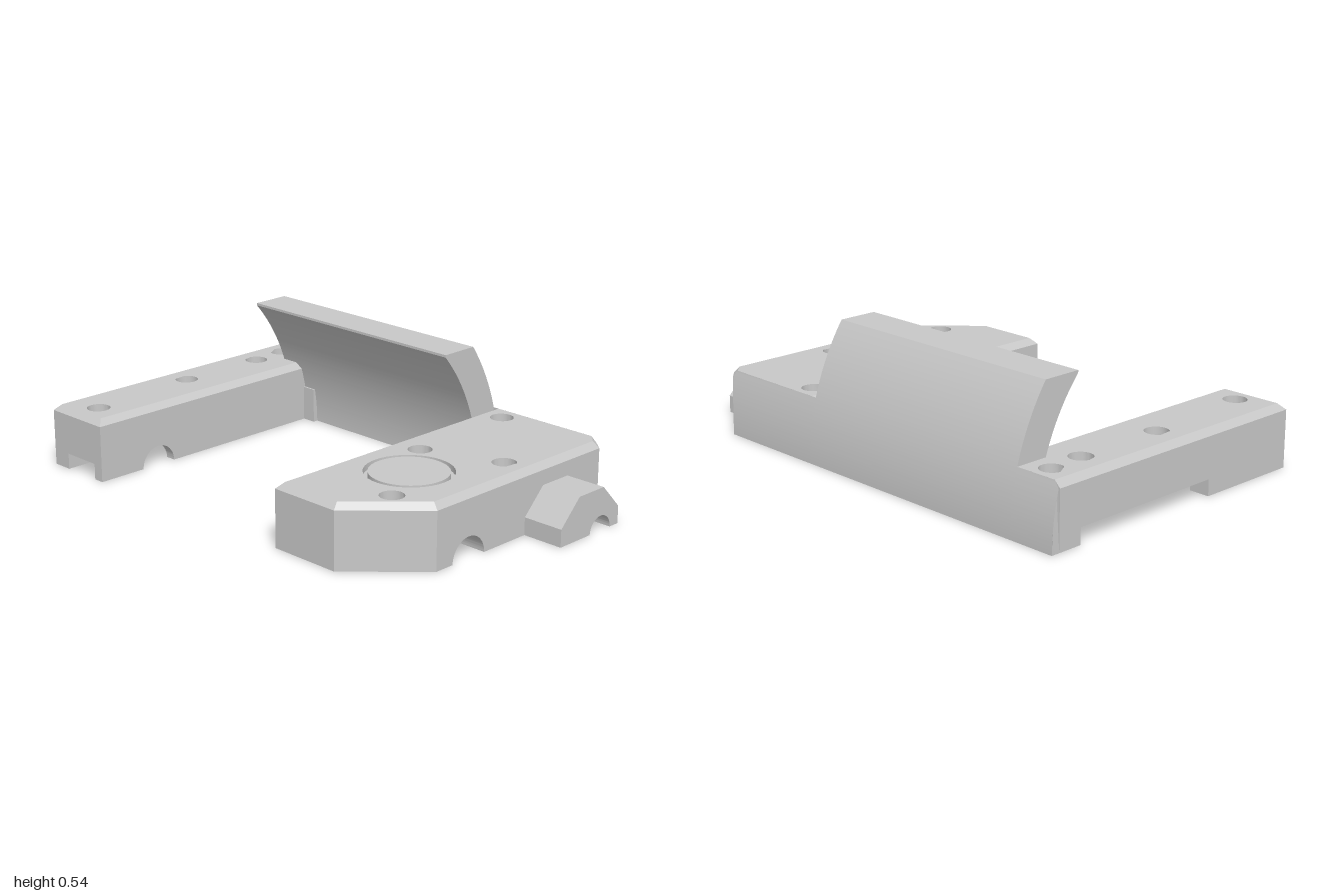
import * as THREE from 'three';
import { toCreasedNormals } from 'three/addons/utils/BufferGeometryUtils.js';

const grey = new THREE.MeshStandardMaterial({ color: 0xc8c8c8 });
grey.name = 'light grey';

const HEIGHT = 0.255, SHOULDER = 0.23, BORE = 0.155, GROOVE_TOP = 0.09;
const BACK = -0.594; // flat rear plane of the arms, covered by the curved skin
const FRONT = 0.63;

const polygon = (points) => new THREE.Shape(points.map(([a, b]) => new THREE.Vector2(a, b)));
const rect = (x0, x1, z0, z1) => [[x0, z0], [x1, z0], [x1, z1], [x0, z1]];

export function createModel() {
  const model = new THREE.Group();
  model.name = 'bracket';

  function add(parent, name, geometry) {
    const mesh = new THREE.Mesh(toCreasedNormals(geometry, 0.5), grey);
    mesh.name = name;
    parent.add(mesh);
  }

  function group(name) {
    const g = new THREE.Group();
    g.name = name;
    model.add(g);
    return g;
  }

  // horizontal layer from a plan outline (x, z) with round holes [x, z, radius];
  // an optional inset outline tapers the top edge into a chamfer
  function layer(parent, name, outline, y0, y1, holes = [], inset = null) {
    const shape = polygon(outline);
    for (const [x, z, r] of holes) {
      shape.holes.push(new THREE.Path().absarc(x, z, r, 0, Math.PI * 2, true));
    }
    const geo = new THREE.ExtrudeGeometry(shape, { depth: y1 - y0, bevelEnabled: false, curveSegments: 20 });
    geo.rotateX(Math.PI / 2).translate(0, y1, 0);
    if (inset) {
      const p = geo.attributes.position;
      for (let i = 0; i < p.count; i++) {
        if (p.getY(i) < y1 - 1e-4) continue;
        const k = outline.findIndex(([x, z]) => Math.hypot(x - p.getX(i), z - p.getZ(i)) < 1e-4);
        if (k >= 0) p.setXYZ(i, inset[k][0], y1, inset[k][1]);
      }
    }
    add(parent, name, geo);
  }

  // side profile (z, y) swept along x
  function sweep(shape, x0, x1) {
    const geo = new THREE.ExtrudeGeometry(shape, { depth: x1 - x0, bevelEnabled: false, curveSegments: 32 });
    return geo.rotateY(-Math.PI / 2).translate(x1, 0, 0);
  }

  // material left around a half-round groove that opens downward
  function groove(parent, z, r, x0, x1, y0 = 0) {
    const a = Math.asin(y0 / r);
    const s = new THREE.Shape();
    s.moveTo(z - r, y0);
    s.absarc(z, 0, r, Math.PI - a, a, true);
    s.lineTo(z + r, y0);
    s.lineTo(z + r, GROOVE_TOP);
    s.lineTo(z - r, GROOVE_TOP);
    add(parent, 'roundGroove', sweep(s, x0, x1));
  }

  // body above the grooves: screw holes, counterbores and chamfered top
  function upperBody(parent, outline, inset, screws, topCuts = []) {
    const narrow = screws.map(([x, z]) => [x, z, 0.024]);
    const wide = screws.map(([x, z]) => [x, z, 0.047]);
    layer(parent, 'body', outline, GROOVE_TOP, BORE, narrow);
    layer(parent, 'counterboreLayer', outline, BORE, SHOULDER, wide);
    layer(parent, 'chamferedTop', outline, SHOULDER, HEIGHT, [...wide, ...topCuts], inset);
    return narrow;
  }

  // long narrow arm
  const arm = group('longArm');
  const armHoles = upperBody(arm, rect(-1, -0.7, BACK, FRONT),
    [[-0.975, BACK], [-0.725, BACK], [-0.725, FRONT - 0.025], [-0.975, FRONT - 0.025]],
    [[-0.89, -0.52], [-0.875, -0.36], [-0.875, 0.035], [-0.835, 0.53]]);
  const RAISED = 0.065;
  layer(arm, 'armUnderside', [[-1, BACK], [-0.7, BACK], [-0.7, 0.26], [-0.89, 0.26],
    [-0.89, 0.42], [-0.7, 0.42], [-0.7, FRONT], [-1, FRONT]], RAISED, GROOVE_TOP, armHoles);
  layer(arm, 'rearFoot', rect(-1, -0.7, BACK, -0.49), 0, RAISED, [armHoles[0]]);
  layer(arm, 'outerFoot', rect(-1, -0.915, 0.185, FRONT), 0, RAISED);
  layer(arm, 'innerLip', rect(-0.745, -0.7, -0.49, 0.26), 0, RAISED);
  layer(arm, 'innerFoot', rect(-0.745, -0.7, 0.42, FRONT), 0, RAISED);
  groove(arm, 0.34, 0.08, -0.745, -0.7);
  groove(arm, 0.34, 0.08, -0.89, -0.745, RAISED);
  layer(arm, 'cornerBlock', rect(-0.71, -0.64, -0.52, -0.477), 0, 0.145);

  // wide block
  const block = group('wideBlock');
  const ring = [0.535, 0.178];
  const blockHoles = upperBody(block,
    [[0.275, BACK], [0.795, BACK], [0.83, -0.562], [0.83, 0.35], [0.575, 0.602], [0.275, 0.602]],
    [[0.3, BACK], [0.765, BACK], [0.805, -0.552], [0.805, 0.34], [0.565, 0.577], [0.3, 0.577]],
    [[0.38, -0.52], [0.72, -0.135], [0.405, -0.02], [0.66, 0.4]],
    [[...ring, 0.17]]);
  layer(block, 'blockUnderside', [[0.275, BACK], [0.795, BACK], [0.83, -0.562],
    [0.83, -0.42], [0.61, -0.42], [0.61, -0.3], [0.83, -0.3],
    [0.83, 0.095], [0.65, 0.095], [0.65, 0.265], [0.83, 0.265],
    [0.83, 0.35], [0.575, 0.602], [0.275, 0.602],
    [0.275, 0.42], [0.42, 0.42], [0.42, 0.26], [0.275, 0.26]], 0, GROOVE_TOP, blockHoles);
  groove(block, -0.36, 0.06, 0.61, 0.83);
  groove(block, 0.18, 0.085, 0.65, 0.83);
  groove(block, 0.34, 0.08, 0.275, 0.42);

  // disc inside the engraved ring
  const disc = new THREE.CylinderGeometry(0.152, 0.152, HEIGHT - SHOULDER, 64);
  add(block, 'ringCentre', disc.translate(ring[0], (HEIGHT + SHOULDER) / 2, ring[1]));

  // side lug with a half-round channel
  const lug = polygon([[-0.467, 0], [-0.467, 0.07], [-0.372, 0.17], [-0.23, 0.17], [-0.13, 0.07], [-0.13, 0]]);
  lug.lineTo(-0.3, 0);
  lug.absarc(-0.36, 0, 0.06, 0, Math.PI, false);
  add(block, 'sideLug', sweep(lug, 0.83, 1));

  // curved rear wall
  const wall = group('rearWall');
  const CZ = 0.297, OUTER = 0.927, INNER = 0.795, TOP = 0.535;
  const shield = new THREE.Shape();
  shield.absarc(CZ, 0, OUTER, Math.PI, Math.PI - Math.asin(TOP / OUTER), true);
  shield.lineTo(-0.3, TOP);
  shield.absarc(CZ, 0, INNER, Math.PI - Math.asin(0.525 / INNER), Math.PI, false);
  add(wall, 'curvedShield', sweep(shield, -0.8, 0.275));

  // curved skin behind both arms, its ends following the chamfers and the cut corner
  const skin = new THREE.Shape();
  skin.absarc(CZ, 0, OUTER, Math.PI, Math.PI - Math.asin(HEIGHT / OUTER), true);
  skin.lineTo(BACK, SHOULDER);
  skin.lineTo(BACK, 0);
  function addSkin(name, x0, x1, endX) {
    const geo = sweep(skin, x0, x1);
    const p = geo.attributes.position;
    for (let i = 0; i < p.count; i++) {
      const x = p.getX(i), rise = Math.max(0, p.getY(i) - SHOULDER);
      if (Math.abs(x - endX) < 1e-4) p.setX(i, endX(x, rise, p.getZ(i)));
      else continue;
    }
    add(wall, name, geo);
  }
  const bendEnd = (geo, end, rule) => {
    const p = geo.attributes.position;
    for (let i = 0; i < p.count; i++) {
      if (Math.abs(p.getX(i) - end) < 1e-4) {
        p.setX(i, end + rule(Math.max(0, p.getY(i) - SHOULDER), p.getZ(i) - BACK));
      }
    }
    return geo;
  };
  add(wall, 'armRearSkin', bendEnd(sweep(skin, -1, -0.8), -1, (rise) => rise));
  add(wall, 'blockRearSkin', bendEnd(sweep(skin, 0.275, 0.795), 0.795,
    (rise, depth) => Math.min(0, depth) * 1.094 - rise * 1.2));

  return model;
}
